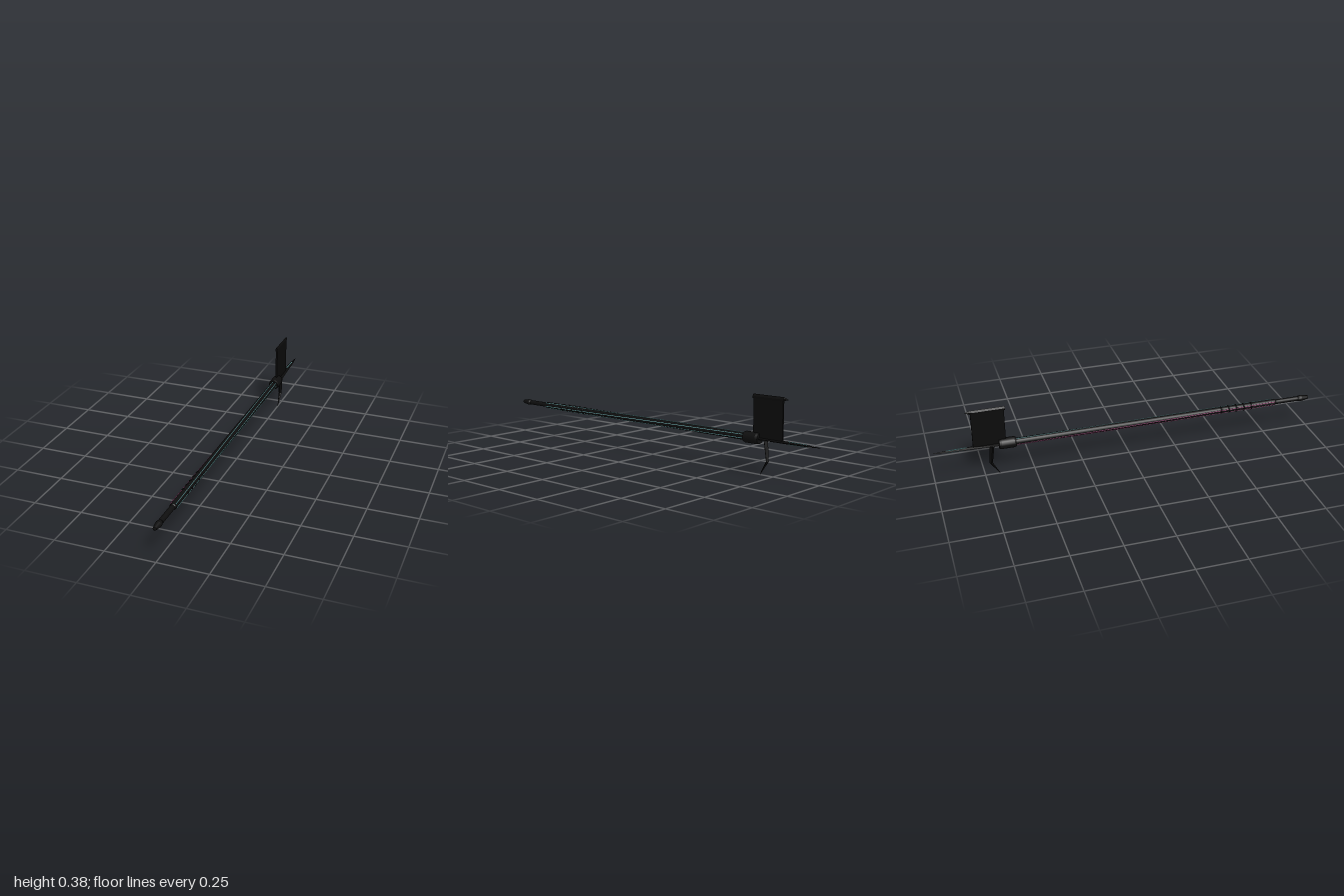
import * as THREE from 'three';

const material = (name, color) => Object.assign(new THREE.MeshStandardMaterial({ color }), { name });

export function createModel() {
  const black = material('matte black', 0x0e0e0e);
  const bladeBlack = material('blade black', 0x0a0a0a);
  const teal = material('pale teal', 0x86cfd2);
  const pink = material('pink', 0xc8609c);
  const model = new THREE.Group();
  model.name = 'polearm';
  const axisY = 0.17;

  const add = (name, geometry, mat, x = 0, y = 0, z = 0) => {
    const mesh = new THREE.Mesh(geometry, mat);
    mesh.name = name;
    mesh.position.set(x, y, z);
    model.add(mesh);
    return mesh;
  };

  // Turned part along z, from [radius, z] pairs in rising z
  const turned = (name, profile, sides) => {
    const g = new THREE.LatheGeometry(profile.map(([r, z]) => new THREE.Vector2(r, z)), sides);
    g.rotateX(Math.PI / 2);
    return add(name, g, black, 0, axisY, 0);
  };

  // Faceted solid through rings of points, with both ends closed
  const loft = (rings) => {
    const n = rings[0].length, index = [];
    rings.slice(1).forEach((_, i) => {
      for (let j = 0; j < n; j++) {
        const a = i * n + j, b = i * n + (j + 1) % n;
        index.push(a, b, b + n, a, b + n, a + n);
      }
    });
    const last = (rings.length - 1) * n;
    for (let j = 1; j < n - 1; j++) index.push(0, j + 1, j, last, last + j, last + j + 1);
    const g = new THREE.BufferGeometry();
    g.setAttribute('position', new THREE.Float32BufferAttribute(rings.flat(2), 3));
    g.setIndex(index);
    const flat = g.toNonIndexed();
    flat.computeVertexNormals();
    return flat;
  };

  // Shaft, butt and collar
  turned('shaft', [[0, -0.62], [0.0175, -0.62], [0.0175, -0.62], [0.0165, 0.805], [0.0165, 0.805], [0.012, 0.81]], 16);
  turned('buttRod', [[0.0125, 0.79], [0.0125, 0.94]], 16);
  turned('buttCap', [[0, 0.935], [0.012, 0.935], [0.0155, 0.95], [0.0155, 0.96], [0.0155, 0.96],
    [0.009, 0.998], [0.009, 0.998], [0, 1]], 12);
  turned('collar', [[0, -0.672], [0.025, -0.672], [0.025, -0.672], [0.028, -0.66], [0.028, -0.66],
    [0.028, -0.595], [0.028, -0.595], [0.025, -0.587], [0.025, -0.587], [0, -0.587]], 16);

  // Grip rings
  for (let i = 0; i < 5; i++) {
    add('gripRing', new THREE.TorusGeometry(0.0165, 0.0035, 8, 20), black, 0, axisY, 0.5 + i * 0.042);
  }

  // Slowly twisting inlays along the shaft
  const inlay = (name, startDegrees, mat) => {
    const points = [];
    for (let i = 0; i <= 16; i++) {
      const t = i / 16, a = THREE.MathUtils.degToRad(startDegrees + 60 * t);
      points.push(new THREE.Vector3(0.0175 * Math.cos(a), 0.0175 * Math.sin(a), 0.8 - 1.39 * t));
    }
    add(name, new THREE.TubeGeometry(new THREE.CatmullRomCurve3(points), 48, 0.0018, 6), mat, 0, axisY, 0);
  };
  [-80, -20, 45].forEach((a) => inlay('tealInlay', a, teal));
  [150, 200].forEach((a) => inlay('pinkInlay', a, pink));

  // Flat diamond-section spike at the head
  const spike = [[-0.66, 0.022, 0.007], [-0.83, 0.013, 0.0065], [-0.93, 0.0095, 0.005], [-1, 0.0008, 0.0008]];
  add('spike', loft(spike.map(([z, w, h]) => [[w, 0, z], [0, -h, z], [-w, 0, z], [0, h, z]])), bladeBlack, 0, axisY, 0);
  for (const side of [1, -1]) {
    const strip = add('spikeInlay', new THREE.BoxGeometry(0.004, 0.002, 0.1), teal, 0, axisY + side * 0.0058, -0.88);
    strip.rotation.x = side * -0.015;
  }

  // Upright square blade with a pointed ridge cap
  add('axeBlade', new THREE.BoxGeometry(0.009, 0.195, 0.164), bladeBlack, 0, 0.2675, -0.718);
  const cap = [[-0.63, 0.0055, 0.357, 0.378], [-0.79, 0.0055, 0.357, 0.378],
    [-0.803, 0.005, 0.361, 0.378], [-0.825, 0.001, 0.366, 0.369]];
  add('axeCap', loft(cap.map(([z, w, low, top]) => {
    const mid = (low + top) / 2;
    return [[0, top, z], [w, mid, z], [w * 0.8, low, z], [-w * 0.8, low, z], [-w, mid, z]];
  })), bladeBlack);

  // Bent hook below the head
  const hook = [[0.168, -0.706, 0.0145, 0.012], [0.14, -0.709, 0.0135, 0.011],
    [0.068, -0.717, 0.0085, 0.008], [0, -0.676, 0.001, 0.001]];
  add('hook', loft(hook.map(([y, z, w, d]) => [[w, y, z], [0, y, z + d], [-w, y, z], [0, y, z - d]])), bladeBlack);

  return model;
}
